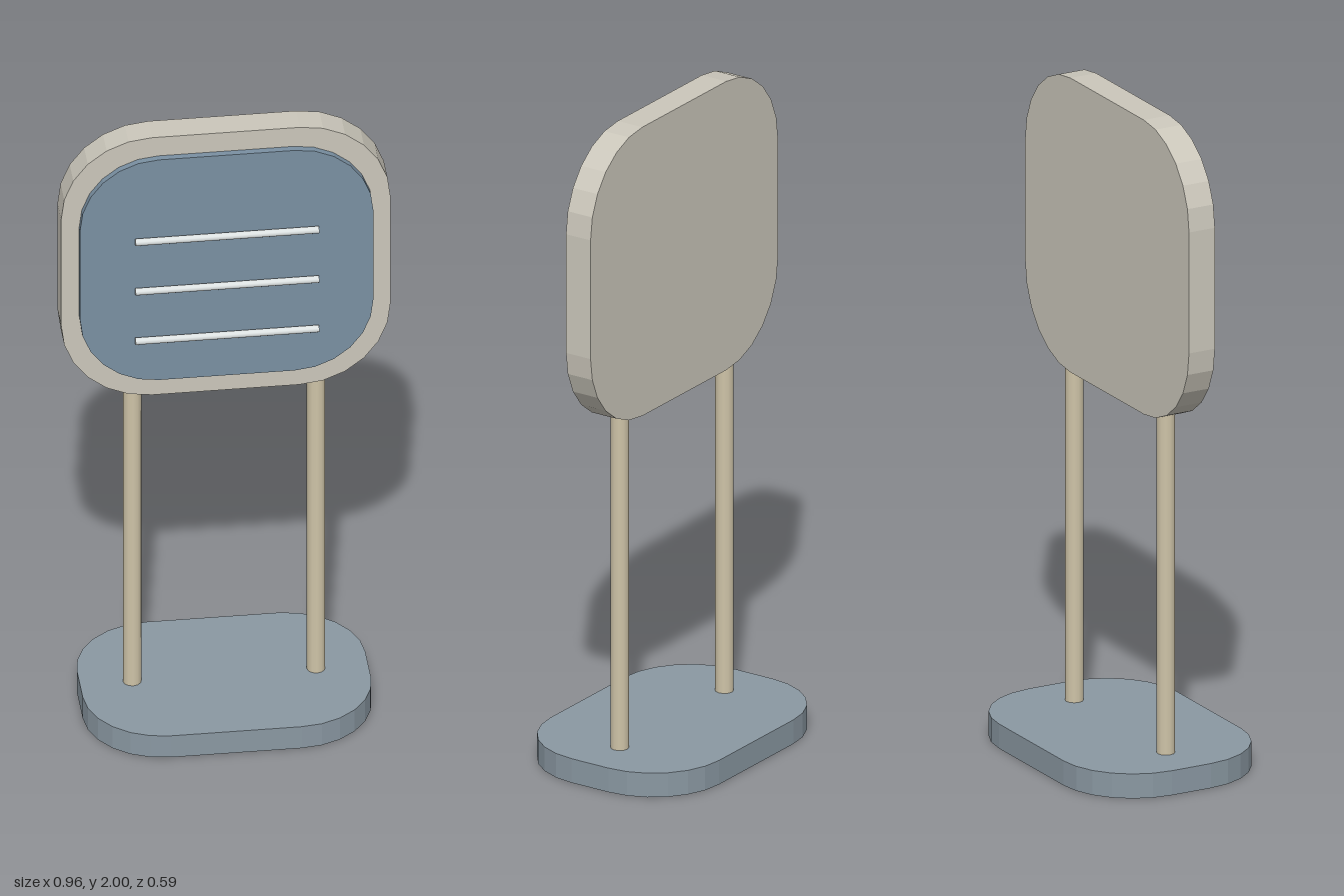
import * as THREE from 'three';

const material = (color) => new THREE.MeshStandardMaterial({ color });

// Rounded rectangle slab centred on the origin, thickness along z
function slab(w, h, r, depth) {
  const x = w / 2 - r, y = h / 2 - r, q = Math.PI / 2;
  const s = new THREE.Shape();
  s.moveTo(w / 2, -y);
  s.absarc(x, y, r, 0, q, false);
  s.absarc(-x, y, r, q, 2 * q, false);
  s.absarc(-x, -y, r, 2 * q, 3 * q, false);
  s.absarc(x, -y, r, 3 * q, 4 * q, false);
  // three curve segments give six facets on each corner
  const g = new THREE.ExtrudeGeometry(s, { depth, bevelEnabled: false, curveSegments: 3 });
  return g.translate(0, 0, -depth / 2);
}

export function createModel() {
  const model = new THREE.Group();
  const add = (name, geometry, mat, x, y, z) => {
    const mesh = new THREE.Mesh(geometry, mat);
    mesh.name = name;
    mesh.position.set(x, y, z);
    model.add(mesh);
    return mesh;
  };

  // Foot plate
  add('base', slab(0.84, 0.59, 0.23, 0.075).rotateX(-Math.PI / 2), material(0x8a98a2), 0, 0.0375, 0);

  // Two posts
  const postMat = material(0xcfc4a8);
  const postGeo = new THREE.CylinderGeometry(0.027, 0.027, 1.05, 12);
  for (const [name, side] of [['leftPost', 1], ['rightPost', -1]]) {
    add(name, postGeo, postMat, side * 0.268, 0.59, 0);
  }

  // Sign board with raised front panel
  add('board', slab(0.96, 0.9, 0.265, 0.086), material(0xcbc7bb), 0, 1.55, 0);
  add('frontPanel', slab(0.855, 0.77, 0.23, 0.022), material(0x7a90a2), 0, 1.55, 0.053);

  // Horizontal bars
  const barMat = material(0xdde2e2);
  const barGeo = new THREE.CylinderGeometry(0.011, 0.011, 0.535, 10).rotateZ(Math.PI / 2);
  for (let i = 0; i < 3; i++) {
    add(`bar${i + 1}`, barGeo, barMat, 0, 1.658 - i * 0.173, 0.073);
  }

  return model;
}
